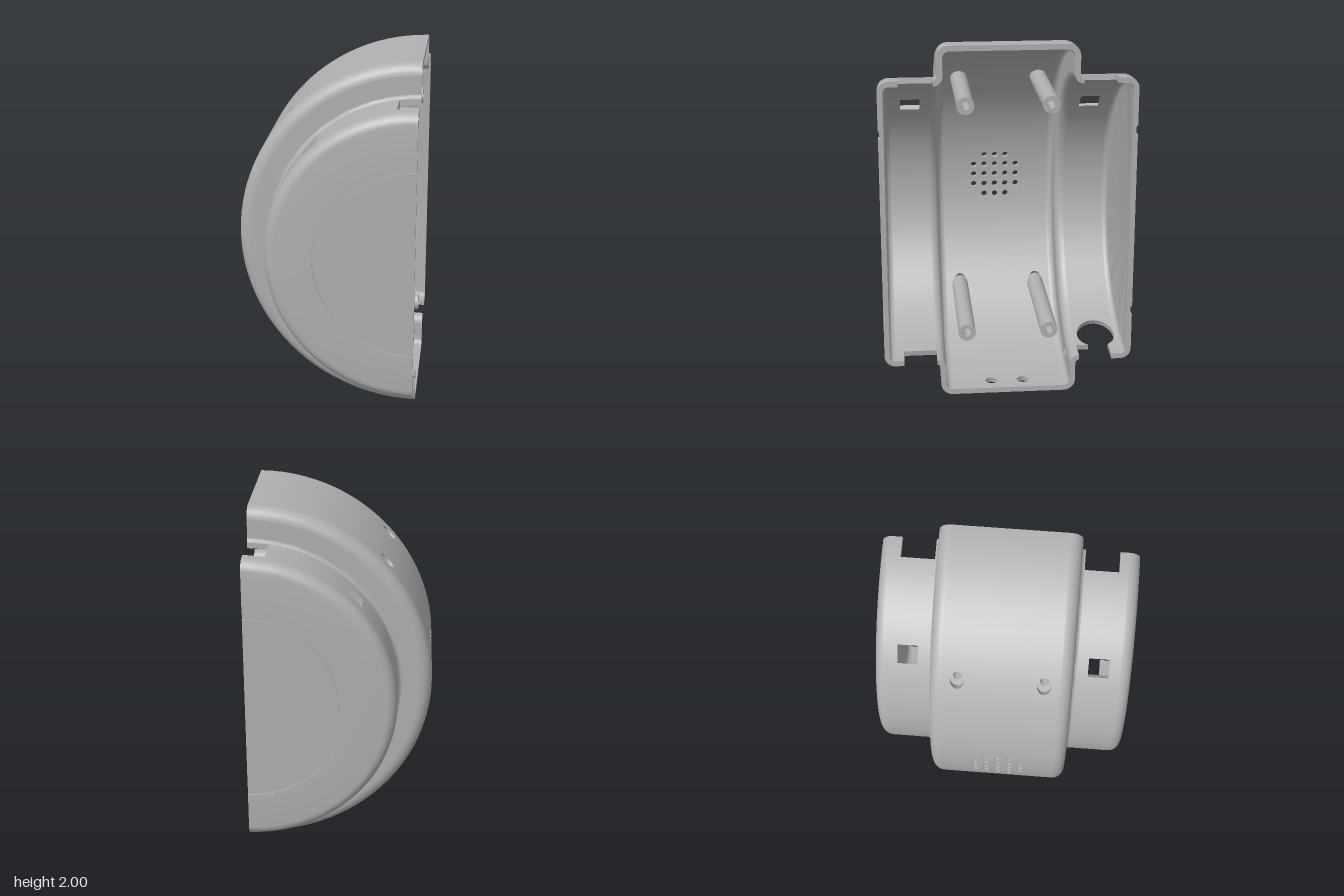
import * as THREE from 'three';
import { mergeGeometries, toCreasedNormals } from 'three/addons/utils/BufferGeometryUtils.js';

const grey = new THREE.MeshStandardMaterial({ color: 0xb0b0b0 });
grey.name = 'grey plastic';

const CX = 0.5, CY = 1;            // shell axis runs along z through here
const WALL = 0.03, R1 = 1, R2 = 0.815;
const HALF = Math.PI / 2;

function mesh(name, geometry) {
  const m = new THREE.Mesh(geometry, grey);
  m.name = name;
  return m;
}

const V = (x, y) => new THREE.Vector2(x, y);

function arc(cr, cz, rad, a0, a1, n = 6) {
  return Array.from({ length: n + 1 }, (_, i) => {
    const a = a0 + (a1 - a0) * i / n;
    return V(cr + rad * Math.cos(a), cz + rad * Math.sin(a));
  });
}

// Half-turn sweep of a closed (radius, z) section, with flat caps on the open side
function sweep(name, section, side) {
  let pts = section.map(p => V(p.x, p.y * side));
  if (THREE.ShapeUtils.area(pts) < 0) pts.reverse();
  const body = toCreasedNormals(
    new THREE.LatheGeometry([...pts, pts[0].clone()], 50, Math.PI, Math.PI).rotateX(HALF), 0.6);
  const caps = new THREE.ShapeGeometry([
    new THREE.Shape(pts), new THREE.Shape(pts.map(p => V(-p.x, p.y)))]).toNonIndexed();
  caps.applyMatrix4(new THREE.Matrix4().makeBasis(
    new THREE.Vector3(0, 1, 0), new THREE.Vector3(0, 0, 1), new THREE.Vector3(1, 0, 0)));
  return mesh(name, mergeGeometries([body, caps]).translate(CX, CY, 0));
}

// Flat outline of [z, angle] points with holes, bent onto a cylinder of radius R
function panel(points, R, holes = []) {
  const toPath = (Kind, list) => new Kind(list.map(([z, a]) => V(z, a * R)));
  const shape = toPath(THREE.Shape, points);
  shape.holes = holes.map(h => toPath(THREE.Path, h));
  const geo = new THREE.ExtrudeGeometry(shape, { depth: WALL, bevelEnabled: false });
  const p = geo.attributes.position, n = geo.attributes.normal;
  for (let i = 0; i < p.count; i++) {
    const a = p.getY(i) / R, r = R - WALL + p.getZ(i), c = Math.cos(a), s = Math.sin(a);
    const [nu, nv, nw] = [n.getX(i), n.getY(i), n.getZ(i)];
    p.setXYZ(i, CX - r * c, CY + r * s, p.getX(i));
    n.setXYZ(i, nv * s - nw * c, nv * c + nw * s, nu);
  }
  return geo;
}

const rect = (z0, z1, a0, a1) => [[z0, a0], [z1, a0], [z1, a1], [z0, a1]];

const oval = (z, a, rz, ra, n = 20) => Array.from({ length: n }, (_, i) =>
  [z + rz * Math.cos(i / n * 2 * Math.PI), a + ra * Math.sin(i / n * 2 * Math.PI)]);

// Cuts the half turn into narrow bands; special bands are [from, to, builder]
function wall(specials, plain) {
  const geos = [];
  let at = -HALF;
  const fill = (to) => {
    const n = Math.ceil((to - at) / 0.063 - 1e-6), a = at;
    for (let i = 0; i < n; i++) geos.push(plain(a + (to - a) * i / n, a + (to - a) * (i + 1) / n));
    at = to;
  };
  for (const [from, to, build] of [...specials].sort((p, q) => p[0] - q[0])) {
    if (from - at > 1e-6) fill(from);
    geos.push(...build(from, to));
    at = to;
  }
  if (HALF - at > 1e-6) fill(HALF);
  return mergeGeometries(geos);
}

const POST_Y = [1.67, 0.366], POST_Z = [-0.23, 0.23];

// Large middle drum with grille, post holes and two bottom holes
function drumWall() {
  const zEnd = 0.315;
  const band = (a0, a1, holes) => panel(rect(-zEnd, zEnd, a0, a1), R1, holes);
  const specials = [];
  for (const y of POST_Y) {
    const a = Math.asin(y - CY);
    specials.push([a - 0.065, a + 0.065, (p, q) =>
      [band(p, q, POST_Z.map(z => oval(z, a, 0.037, 0.051)))]]);
  }
  const pitch = 0.064;
  for (let row = -2; row <= 2; row++) {
    const reach = Math.abs(row) === 2 ? 1 : 2, holes = [];
    for (let j = -reach; j <= reach; j++) holes.push(oval(j * pitch, row * pitch, 0.0175, 0.0175, 14));
    specials.push([(row - 0.5) * pitch, (row + 0.5) * pitch, (p, q) => [band(p, q, holes)]]);
  }
  const low = -HALF + 0.09;
  specials.push([low - 0.045, low + 0.045, (p, q) =>
    [band(p, q, [-0.09, 0.09].map(z => oval(z, low, 0.035, 0.032)))]]);
  return mesh('drumWall', wall(specials, (p, q) => band(p, q)));
}

// Smaller end drum with a window, edge notches and, at the back, a cable hole
function endDrumWall(side) {
  const z0 = 0.4, z1 = 0.635, notch = 0.142;
  const strip = pts => panel(pts.map(([z, a]) => [z * side, a]), R2);
  const notched = (p, q) => [strip(rect(0.585, z1, p, q))];
  const specials = [
    [-HALF, -HALF + notch, notched],
    [HALF - notch, HALF, notched],
    [0.69, 0.87, (p, q) => [panel(rect(z0 * side, z1 * side, p, q), R2,
      [rect(0.46 * side, 0.57 * side, 0.712, 0.846)])]],
  ];
  if (side < 0) {
    const c = -HALF + 0.27, cz = 0.525, r = 0.108, ra = 0.15;
    const half = a => r * Math.sqrt(Math.max(0, 1 - ((a - c) / ra) ** 2));
    const from = -HALF + notch, steps = 16;
    // Angles bunch up at the far end so the round edge stays smooth
    const at = i => from + (c + ra - from) * Math.sin(i / steps * HALF);
    for (let i = 0; i < steps; i++) specials.push([at(i), at(i + 1), (p, q) => [
      strip([[z0, p], [cz - half(p), p], [cz - half(q), q], [z0, q]]),
      strip([[cz + half(p), p], [z1, p], [z1, q], [cz + half(q), q]])]]);
  }
  return mesh('endDrumWall', wall(specials, (p, q) => strip(rect(z0, z1, p, q))));
}

// Flat step between the drums; the back one has a small round hole
function stepWall(side) {
  const s = new THREE.Shape();
  s.absarc(CX, CY, 0.935, HALF, 3 * HALF, false);
  s.absarc(CX, CY, 0.835, 3 * HALF, HALF, true);
  if (side < 0) s.holes.push(new THREE.Path().absarc(0.28, 0.14, 0.028, 0, 2 * Math.PI));
  const geo = new THREE.ExtrudeGeometry(s, { depth: WALL, bevelEnabled: false, curveSegments: 50 });
  return mesh('stepWall', geo.translate(0, 0, side > 0 ? 0.35 : -0.38));
}

// Hollow screw post whose base follows the drum's curve
function screwPost(y, z) {
  const ro = 0.048, ri = 0.023, end = 0.48;
  const pts = [V(ri, 0), V(ro, 0), V(ro, 1), V(ri, 1), V(ri, 0)];
  const geo = new THREE.LatheGeometry(pts, 24).rotateZ(-HALF).translate(0, y, z);
  const p = geo.attributes.position;
  for (let i = 0; i < p.count; i++) {
    const base = CX - Math.sqrt(0.975 ** 2 - (p.getY(i) - CY) ** 2);
    p.setX(i, p.getX(i) < 0.5 ? base : end);
  }
  return mesh('screwPost', toCreasedNormals(geo, 0.6));
}

export function createModel() {
  const model = new THREE.Group();
  model.name = 'halfHousing';
  model.add(drumWall());

  const outerCorner = [...arc(0.935, 0.315, 0.065, 0, HALF), ...arc(0.935, 0.315, 0.035, HALF, 0)];
  const innerCorner = [...arc(0.835, 0.4, 0.02, -HALF, -Math.PI), ...arc(0.835, 0.4, 0.05, -Math.PI, -HALF)];
  // End plate with rounded rim and a shallow ring groove
  const endPlate = [
    ...arc(0.755, 0.635, 0.06, 0, HALF),
    V(0.55, 0.695), V(0.55, 0.687), V(0.5, 0.687), V(0.5, 0.695), V(0, 0.695), V(0, 0.665),
    ...arc(0.755, 0.635, 0.03, HALF, 0)];

  for (const side of [1, -1]) {
    const end = new THREE.Group();
    end.name = side > 0 ? 'frontEnd' : 'backEnd';
    end.add(
      sweep('drumRim', outerCorner, side),
      stepWall(side),
      sweep('stepFillet', innerCorner, side),
      endDrumWall(side),
      sweep('endPlate', endPlate, side));
    model.add(end);
  }

  for (const y of POST_Y) for (const z of POST_Z) model.add(screwPost(y, z));
  return model;
}
